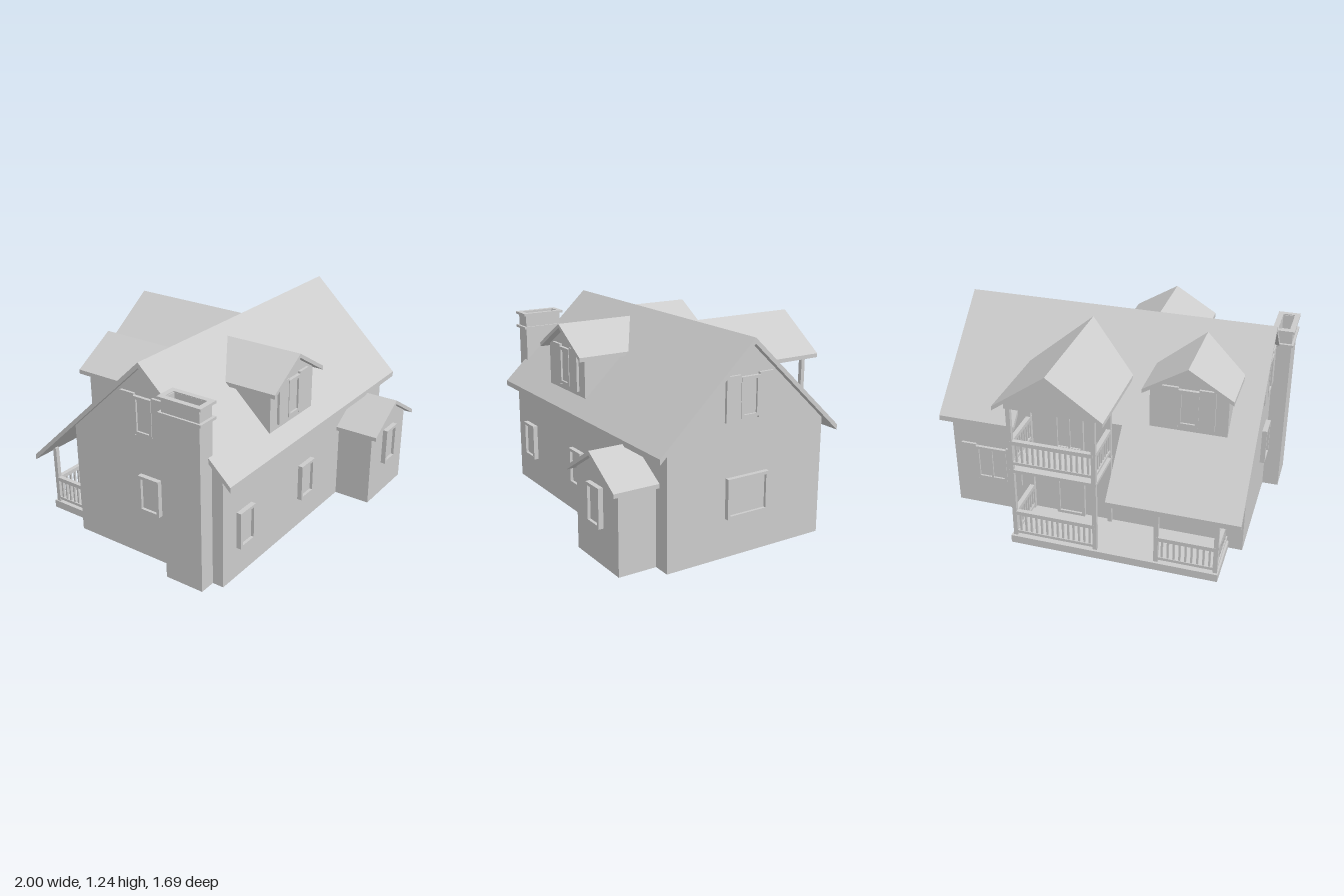
import * as THREE from 'three';

const mat = new THREE.MeshStandardMaterial({ color: 0xcccccc, side: THREE.DoubleSide, flatShading: true });
const RIDGE_Z = 0.035, RIDGE_Y = 1.24, PITCH = 0.94; // main roof plane

function add(parent, name, geometry, x = 0, y = 0, z = 0, ry = 0) {
  const m = new THREE.Mesh(geometry, mat);
  m.name = name;
  m.position.set(x, y, z);
  m.rotation.y = ry;
  parent.add(m);
  return m;
}

// Box given by its minimum and maximum corners
function box(parent, name, x0, x1, y0, y1, z0, z1) {
  return add(parent, name, new THREE.BoxGeometry(x1 - x0, y1 - y0, z1 - z0),
    (x0 + x1) / 2, (y0 + y1) / 2, (z0 + z1) / 2);
}

const polygon = (pts) => new THREE.Shape(pts.map((p) => new THREE.Vector2(...p)));
const extrude = (shape, depth) => new THREE.ExtrudeGeometry(shape, { depth, bevelEnabled: false });

function frameShape(w, h, border) {
  const rect = (a, b) => [[-a, -b], [a, -b], [a, b], [-a, b]];
  const s = polygon(rect(w / 2, h / 2));
  s.holes.push(polygon(rect(w / 2 - border, h / 2 - border)));
  return s;
}

// Framed window facing +z, optionally with a shutter on either side
function windowUnit(parent, name, w, h, depth, pos, ry = 0, shutter = 0, mullions = 0) {
  const g = new THREE.Group();
  g.name = name;
  const border = 0.018;
  add(g, 'windowFrame', extrude(frameShape(w, h, border), depth));
  box(g, 'windowPane', -w / 2 + border, w / 2 - border, -h / 2 + border, h / 2 - border, 0, depth * 0.4);
  for (let i = 1; i <= mullions; i++) {
    const x = -w / 2 + (w * i) / (mullions + 1);
    box(g, 'mullion', x - 0.007, x + 0.007, -h / 2, h / 2, 0, depth * 0.9);
  }
  if (shutter) for (const s of [-1, 1]) {
    const x = s * (w + shutter) / 2;
    box(g, 'shutter', x - shutter / 2, x + shutter / 2, -h / 2 - 0.012, h / 2 + 0.012, 0, depth * 0.8);
  }
  g.position.set(...pos);
  g.rotation.y = ry;
  parent.add(g);
}

// Extrude a profile forward from the main roof plane to zFront (z measured from the ridge)
function fromRoof(shape, zFront) {
  const geo = extrude(shape, 1), p = geo.attributes.position;
  for (let i = 0; i < p.count; i++) {
    const back = Math.min((RIDGE_Y - 0.01 - p.getY(i)) / PITCH, zFront - 0.001);
    p.setZ(i, p.getZ(i) > 0.5 ? zFront : back);
  }
  geo.computeVertexNormals();
  return geo;
}

// Thin inverted-V roof profile
function chevron(half, ridge, eave, t) {
  return polygon([[-half, eave - t], [0, ridge - t], [half, eave - t], [half, eave], [0, ridge], [-half, eave]]);
}

// Dormer in a frame whose z = 0 is the main ridge
function dormer(parent, name, x, back, o) {
  const g = new THREE.Group();
  g.name = name;
  g.position.set(x, 0, RIDGE_Z);
  g.rotation.y = back ? Math.PI : 0;
  const slope = (o.ridge - o.eave) / o.roofHalf, top = o.ridge - 0.015;
  add(g, 'dormerRoof', fromRoof(chevron(o.roofHalf, o.ridge, o.eave, 0.025), o.roofZ));
  const shoulder = top - slope * o.half;
  add(g, 'dormerWalls', fromRoof(polygon([[-o.half, o.base], [o.half, o.base],
    [o.half, shoulder], [0, top], [-o.half, shoulder]]), o.wallZ));
  parent.add(g);
  return g;
}

// Railing between two floor points
function railing(parent, x0, z0, x1, z1, y) {
  const len = Math.hypot(x1 - x0, z1 - z0), g = new THREE.Group();
  g.name = 'railing';
  g.position.set(x0, y, z0);
  g.rotation.y = Math.atan2(-(z1 - z0), x1 - x0);
  box(g, 'topRail', 0, len, 0.155, 0.18, -0.014, 0.014);
  box(g, 'bottomRail', 0, len, 0.02, 0.038, -0.011, 0.011);
  const n = Math.round(len / 0.034);
  for (let i = 1; i < n; i++) {
    const x = (len * i) / n;
    box(g, 'baluster', x - 0.006, x + 0.006, 0.03, 0.16, -0.006, 0.006);
  }
  parent.add(g);
}

export function createModel() {
  const house = new THREE.Group();
  house.name = 'house';

  // Main walls, open underneath
  const L = -0.885, R = 0.96, F = 0.565, B = -0.495, H = 0.71;
  const gable = new THREE.ShapeGeometry(polygon([[-F, 0], [-B, 0], [-B, H], [-RIDGE_Z, 1.21], [-F, H]]));
  add(house, 'rightGableWall', gable, R, 0, 0, Math.PI / 2);
  add(house, 'leftGableWall', gable, L, 0, 0, Math.PI / 2);
  const longWall = new THREE.PlaneGeometry(R - L, H);
  add(house, 'frontWall', longWall, (L + R) / 2, H / 2, F);
  add(house, 'backWall', longWall, (L + R) / 2, H / 2, B, Math.PI);

  // Main roof in three bays with different back eaves
  const roofY = (z) => RIDGE_Y - PITCH * Math.abs(z - RIDGE_Z);
  for (const [x0, x1, zb] of [[-0.915, -0.135, -0.83], [-0.135, 0.515, B], [0.515, 1, -0.58]]) {
    const t = 0.033, zf = 0.635;
    const s = polygon([[-zf, roofY(zf) - t], [-RIDGE_Z, RIDGE_Y - t], [-zb, roofY(zb) - t],
      [-zb, roofY(zb)], [-RIDGE_Z, RIDGE_Y], [-zf, roofY(zf)]]);
    add(house, 'mainRoof', extrude(s, x1 - x0), x0, 0, 0, Math.PI / 2);
  }

  // Dormers
  const small = { half: 0.228, roofHalf: 0.262, ridge: 1.18, eave: 1.02, base: 0.76, wallZ: 0.515, roofZ: 0.565 };
  for (const [x, back] of [[-0.18, false], [-0.522, true]]) {
    const g = dormer(house, back ? 'backDormer' : 'frontDormer', x, back, small);
    windowUnit(g, 'dormerWindow', 0.12, 0.23, 0.02, [0, 0.915, 0.515], 0, 0.095);
  }

  // Balcony gable
  const porch = dormer(house, 'balconyGable', 0.19, true,
    { half: 0.25, roofHalf: 0.325, ridge: 1.185, eave: 0.955, base: 0.5, wallZ: 0.53, roofZ: 0.885 });
  add(porch, 'pediment', fromRoof(polygon([[-0.27, 0.93], [0.27, 0.93], [0.27, 0.97], [0, 1.165], [-0.27, 0.97]]), 0.845));

  // Front bay, open underneath
  const bay = new THREE.Group();
  bay.name = 'frontBay';
  bay.position.x = 0.625;
  add(bay, 'bayFrontWall', new THREE.ShapeGeometry(
    polygon([[-0.228, 0], [0.228, 0], [0.228, 0.5], [0, 0.64], [-0.228, 0.5]])), 0, 0, 0.8);
  for (const s of [-1, 1])
    add(bay, 'baySideWall', new THREE.PlaneGeometry(0.235, 0.5), s * 0.228, 0.25, 0.6825, s * Math.PI / 2);
  add(bay, 'bayRoof', extrude(chevron(0.262, 0.655, 0.495, 0.025), 0.28), 0, 0, F);
  windowUnit(bay, 'bayWindow', 0.14, 0.235, 0.03, [0, 0.342, 0.8]);
  house.add(bay);

  // Front, side and back windows
  for (const x of [-0.682, -0.03]) windowUnit(house, 'frontWindow', 0.145, 0.23, 0.03, [x, 0.305, F]);
  const q = Math.PI / 2;
  windowUnit(house, 'rightWindow', 0.28, 0.235, 0.027, [R, 0.352, 0.045], q);
  windowUnit(house, 'rightUpperWindow', 0.125, 0.23, 0.02, [R, 0.915, 0.042], q, 0.095);
  windowUnit(house, 'leftWindow', 0.145, 0.23, 0.03, [L, 0.43, 0.07], -q);
  windowUnit(house, 'leftUpperWindow', 0.125, 0.23, 0.02, [L, 0.915, 0.042], -q, 0.095);
  windowUnit(house, 'backWindow', 0.2, 0.23, 0.02, [0.71, 0.32, B], Math.PI, 0.095, 1);
  windowUnit(house, 'porchWindow', 0.2, 0.23, 0.02, [-0.55, 0.3, B], Math.PI, 0, 1);
  windowUnit(house, 'porchDoor', 0.18, 0.39, 0.022, [0.19, 0.245, B], Math.PI);
  windowUnit(house, 'balconyDoor', 0.18, 0.38, 0.022, [0.19, 0.71, B], Math.PI, 0, 1);

  // Porch floor, balcony deck and posts
  box(house, 'porchFloor', -0.8, 0.465, 0, 0.05, -0.82, B);
  box(house, 'balconyDeck', -0.075, 0.455, 0.5, 0.52, -0.805, B);
  const post = (x, z, top) => box(house, 'post', x - 0.013, x + 0.013, 0.05, top, z - 0.013, z + 0.013);
  for (const x of [0.44, -0.06]) for (const z of [-0.792, -0.508]) post(x, z, 0.94);
  for (const x of [-0.43, -0.78]) post(x, -0.792, 0.43);

  // Railings
  for (const y of [0.045, 0.535]) {
    railing(house, -0.06, -0.792, 0.44, -0.792, y);
    railing(house, 0.44, -0.792, 0.44, B, y);
  }
  railing(house, -0.06, -0.792, -0.06, B, 0.535);
  railing(house, -0.78, -0.792, -0.43, -0.792, 0.045);
  railing(house, -0.78, -0.792, -0.78, B, 0.045);

  // Chimney: hollow shaft with two projecting bands
  const chimney = new THREE.Group();
  chimney.name = 'chimney';
  chimney.position.set(-0.931, 0, 0.369);
  const ring = (name, w, d, border, y, h) => {
    add(chimney, name, extrude(frameShape(w, d, border), h), 0, y, 0).rotation.x = -q;
  };
  ring('chimneyShaft', 0.11, 0.25, 0.02, 0, 1.12);
  ring('lowerBand', 0.135, 0.285, 0.032, 1.02, 0.016);
  ring('chimneyCap', 0.135, 0.285, 0.032, 1.11, 0.016);
  box(chimney, 'flueFloor', -0.04, 0.04, 1.02, 1.03, -0.11, 0.11);
  house.add(chimney);

  return house;
}
